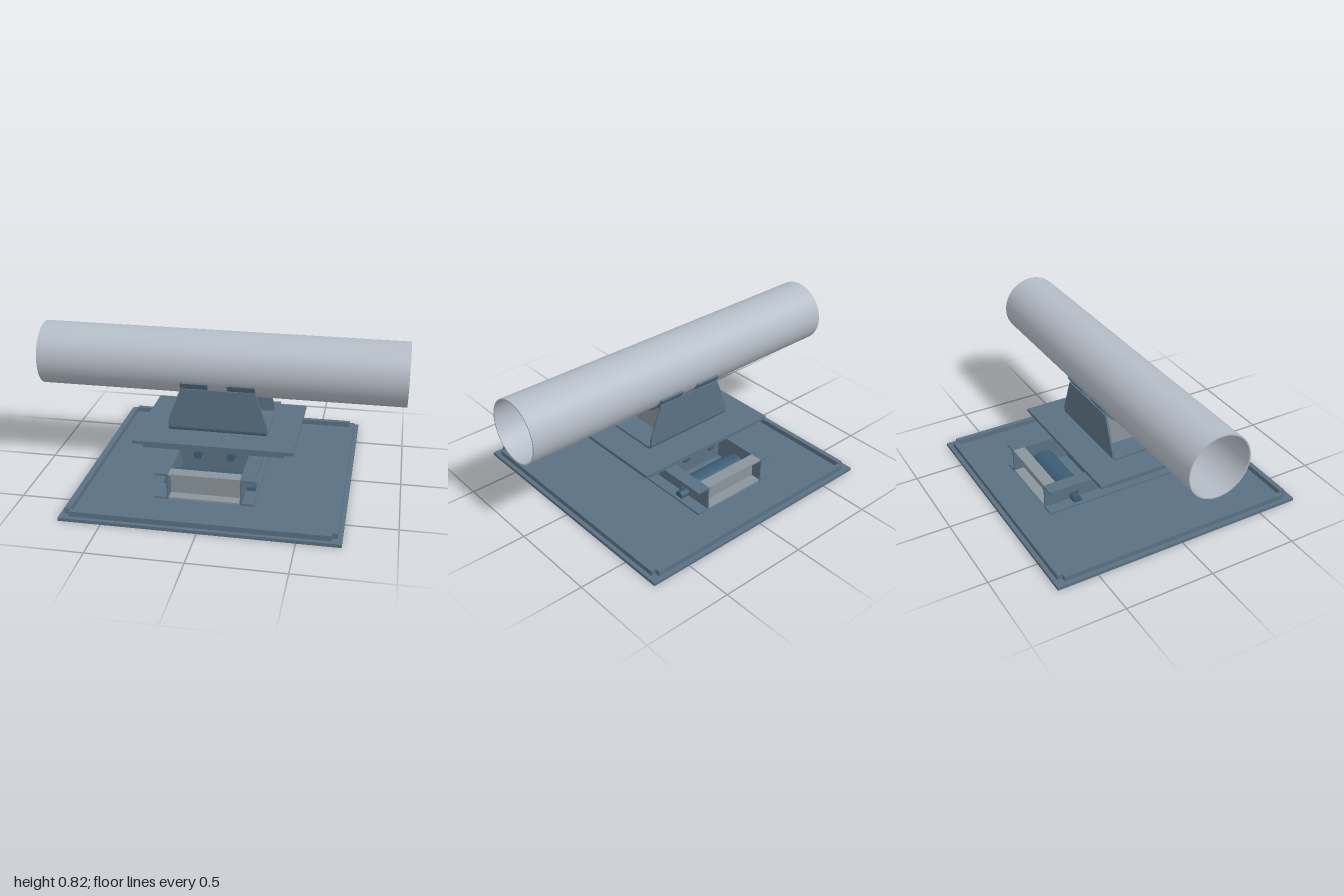
import * as THREE from 'three';

const mat = (color) => new THREE.MeshStandardMaterial({ color, side: THREE.DoubleSide });
const steel = mat(0x5a7183), dark = mat(0x3c5c74), grey = mat(0x89949b), pale = mat(0xb4bcc6);

export function createModel() {
  const model = new THREE.Group();

  const add = (name, geometry, material, parent = model) => {
    const mesh = new THREE.Mesh(geometry, material);
    mesh.name = name;
    parent.add(mesh);
    return mesh;
  };
  // box given by its limits on each axis
  const box = (name, x0, x1, y0, y1, z0, z1, material = steel) =>
    add(name, new THREE.BoxGeometry(x1 - x0, y1 - y0, z1 - z0), material)
      .position.set((x0 + x1) / 2, (y0 + y1) / 2, (z0 + z1) / 2);
  // outline drawn in (z, y), extruded along x and centred at x
  const extrudeX = (name, shape, depth, x, material) => {
    const g = new THREE.ExtrudeGeometry(shape, { depth, bevelEnabled: false, curveSegments: 24 });
    g.translate(0, 0, -depth / 2).rotateY(-Math.PI / 2);
    return add(name, g, material).translateX(x);
  };
  const polygon = (pts) => new THREE.Shape(pts.map(([x, y]) => new THREE.Vector2(x, y)));

  // plate edged by four separate strips
  const rim = (name, x, z, y0, y1, w) => {
    for (const s of [-1, 1]) {
      const side = [s * x, s * (x - w)].sort((a, b) => a - b);
      const end = [s * z, s * (z - w)].sort((a, b) => a - b);
      box(name + 'Side', ...side, y0, y1, -z + w, z - w);
      box(name + 'End', -x + w, x - w, y0, y1, ...end);
    }
  };
  box('basePlate', -0.727, 0.727, 0, 0.018, -0.727, 0.727);
  rim('baseRim', 0.704, 0.704, 0.018, 0.047, 0.028);
  box('upperPlate', -0.435, 0.435, 0.275, 0.293, -0.32, 0.32);
  rim('upperRim', 0.41, 0.295, 0.247, 0.275, 0.028);

  // side channels: webs notched for the lower axles, flanges turned outward
  const web = polygon([
    [-0.53, 0.075], [-0.382, 0.075], [-0.382, 0.121], [-0.332, 0.121], [-0.332, 0.075],
    [0.332, 0.075], [0.332, 0.121], [0.382, 0.121], [0.382, 0.075], [0.53, 0.075],
    [0.53, 0.218], [-0.53, 0.218],
  ]);
  for (const s of [-1, 1]) {
    extrudeX('sideChannelWeb', web, 0.01, s * 0.193, steel);
    for (const y of [0.075, 0.208]) {
      const [a, b] = s > 0 ? [0.198, 0.263] : [-0.263, -0.198];
      box('sideChannelFlange', a, b, y, y + 0.01, -0.53, 0.53);
      const [c, d] = s > 0 ? [0.46, 0.527] : [-0.527, -0.46];
      box('endChannelFlange', -0.188, 0.188, y, y + 0.01, c, d, grey);
    }
    const z = s * 0.465;
    box('endChannelWeb', -0.188, 0.188, 0.085, 0.208, z - 0.005, z + 0.005, grey);
  }

  // cross plates carrying the upper axles, notched from above
  const cross = polygon([
    [-0.188, 0.075], [0.188, 0.075], [0.188, 0.218], [0.115, 0.218], [0.115, 0.172],
    [0.065, 0.172], [0.065, 0.218], [-0.065, 0.218], [-0.065, 0.172], [-0.115, 0.172],
    [-0.115, 0.218], [-0.188, 0.218],
  ]);
  for (const s of [-1, 1]) {
    const g = new THREE.ExtrudeGeometry(cross, { depth: 0.01, bevelEnabled: false });
    add('crossPlate', g, steel).position.z = s * 0.195 - 0.005;
  }

  // hollow rollers with tapered ends on hexagonal axles
  const roller = (name, x, y, z, alongX) => {
    const group = new THREE.Group();
    group.name = name;
    const profile = [
      [0.036, -0.187], [0.058, -0.187], [0.058, -0.187], [0.075, -0.174], [0.075, -0.174],
      [0.075, 0.174], [0.075, 0.174], [0.058, 0.187], [0.058, 0.187], [0.036, 0.187],
      [0.036, 0.187], [0.036, -0.187],
    ].map(([r, h]) => new THREE.Vector2(r, h));
    add('rollerBody', new THREE.LatheGeometry(profile, 32), dark, group);
    add('axle', new THREE.CylinderGeometry(0.025, 0.025, 0.49, 8), dark, group);
    if (alongX) group.rotation.z = Math.PI / 2;
    else group.rotation.x = Math.PI / 2;
    group.position.set(x, y, z);
    model.add(group);
  };
  for (const s of [-1, 1]) {
    roller('lowerRoller', 0, 0.093, s * 0.357, true);
    roller('upperRoller', s * 0.09, 0.2, 0, false);
  }

  // cradle: U-shaped floor with rounded bends, then two tapering cheeks
  const R = 0.035, T = 0.012, W = 0.162, Y0 = 0.293;
  const bend = new THREE.Shape();
  bend.moveTo(-W, Y0 + R);
  bend.absarc(-W + R, Y0 + R, R, Math.PI, Math.PI * 1.5, false);
  bend.absarc(W - R, Y0 + R, R, Math.PI * 1.5, Math.PI * 2, false);
  bend.lineTo(W - T, Y0 + R);
  bend.absarc(W - R, Y0 + R, R - T, 0, -Math.PI / 2, true);
  bend.absarc(-W + R, Y0 + R, R - T, -Math.PI / 2, -Math.PI, true);
  bend.closePath();
  extrudeX('cradleFloor', bend, 0.54, 0, steel);
  const cheek = polygon([
    [-0.27, Y0 + R], [0.27, Y0 + R], [0.27, 0.36], [0.2, 0.545], [-0.2, 0.545], [-0.27, 0.36],
  ]);
  for (const s of [-1, 1]) {
    const g = new THREE.ExtrudeGeometry(cheek, { depth: T, bevelEnabled: false });
    add('cradleCheek', g, steel).position.z = s > 0 ? W - T : -W;
  }

  // curved saddles under the pipe, each on a stiffener plate
  const PY = 0.65, r = 0.174, outer = 0.186, a = 1.18, down = -Math.PI / 2;
  const saddle = new THREE.Shape();
  saddle.absarc(0, PY, outer, down - a, down + a, false);
  saddle.absarc(0, PY, r + 0.001, down + a, down - a, true);
  saddle.closePath();
  const half = W - T, b = Math.asin(half / outer);
  const stiffener = new THREE.Shape();
  stiffener.moveTo(-half, Y0 + R);
  stiffener.lineTo(-half + R - T, Y0 + T);
  stiffener.lineTo(half - R + T, Y0 + T);
  stiffener.lineTo(half, Y0 + R);
  stiffener.absarc(0, PY, outer, down + b, down - b, true);
  stiffener.closePath();
  for (const s of [-1, 1]) {
    extrudeX('saddle', saddle, 0.15, s * 0.128, steel);
    extrudeX('stiffener', stiffener, 0.012, s * 0.128, grey);
  }

  // open pipe
  const wall = new THREE.Shape().absarc(0, PY, r, 0, Math.PI * 2, false);
  wall.holes.push(new THREE.Path().absarc(0, PY, r - 0.007, 0, Math.PI * 2, true));
  const ends = new THREE.ShapeGeometry(wall, 32);
  for (const s of [-1, 1]) {
    const rimEnd = add('pipeEnd', ends, pale);
    rimEnd.rotation.y = s * Math.PI / 2;
    rimEnd.position.x = s;
  }
  for (const radius of [r, r - 0.007]) {
    const g = new THREE.CylinderGeometry(radius, radius, 2, 64, 1, true).rotateZ(Math.PI / 2);
    add(radius === r ? 'pipeOutside' : 'pipeInside', g, pale).position.y = PY;
  }
  return model;
}
